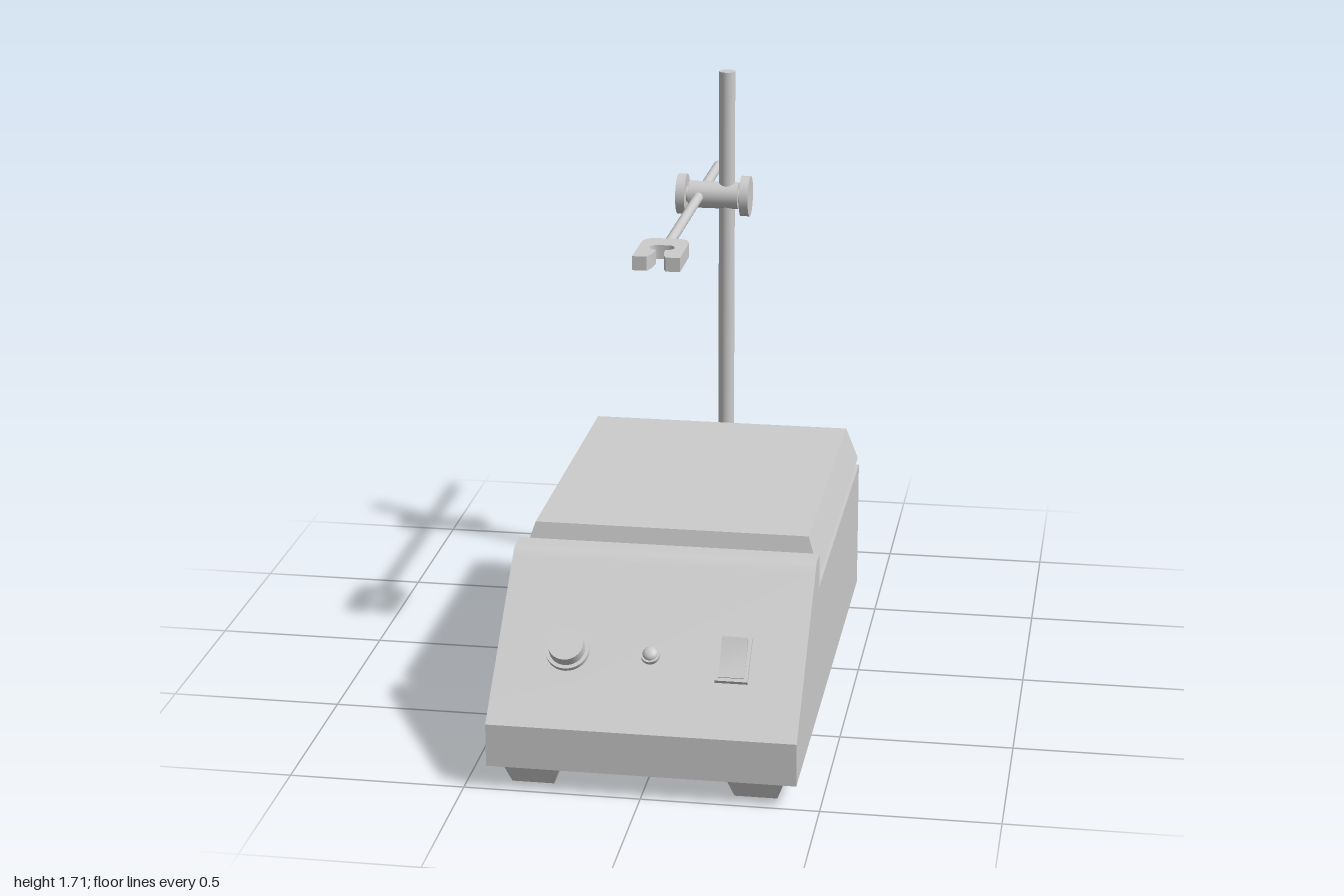
import * as THREE from 'three';
import { toCreasedNormals } from 'three/addons/utils/BufferGeometryUtils.js';

const grey = new THREE.MeshStandardMaterial({ color: 0xcccccc });

function add(parent, name, geometry, x = 0, y = 0, z = 0) {
  const mesh = new THREE.Mesh(geometry, grey);
  mesh.name = name;
  mesh.position.set(x, y, z);
  parent.add(mesh);
  return mesh;
}

const cyl = (r, h, sides = 32) => new THREE.CylinderGeometry(r, r, h, sides);
const cylX = (r, h) => cyl(r, h).rotateZ(Math.PI / 2);
const cylZ = (r, h) => cyl(r, h, 24).rotateX(Math.PI / 2);

// Box whose top and bottom rectangles differ in size
function frustum(topW, topD, botW, botD, h) {
  const g = new THREE.BoxGeometry(1, h, 1);
  const p = g.attributes.position;
  for (let i = 0; i < p.count; i++) {
    const top = p.getY(i) > 0;
    p.setX(i, p.getX(i) * (top ? topW : botW));
    p.setZ(i, p.getZ(i) * (top ? topD : botD));
  }
  g.computeVertexNormals();
  return g;
}

// Side profile drawn as (z, y), extruded across x
function sideExtrude(shape, width) {
  const g = new THREE.ExtrudeGeometry(shape, { depth: width, bevelEnabled: false, curveSegments: 8 });
  g.translate(0, 0, -width / 2).rotateY(-Math.PI / 2);
  return toCreasedNormals(g, 0.5);
}

function buildBase(root) {
  const s = new THREE.Shape();
  s.moveTo(-0.555, 0.07);
  s.lineTo(1, 0.07);
  s.lineTo(1, 0.195);
  s.lineTo(0.605, 0.546);
  s.quadraticCurveTo(0.584, 0.567, 0.56, 0.567);
  s.lineTo(0.51, 0.567);
  s.lineTo(0.51, 0.467);
  s.lineTo(-0.555, 0.467);
  s.closePath();
  add(root, 'housing', sideExtrude(s, 0.87));

  // Heating plate with its posts, and the feet
  add(root, 'hotPlate', frustum(0.795, 0.975, 0.865, 1.03, 0.105), 0, 0.5475, -0.025);
  for (const side of [-1, 1]) {
    for (const z of [0.405, -0.44]) add(root, 'platePost', cyl(0.03, 0.04), side * 0.33, 0.481, z);
    for (const z of [0.882, -0.422]) {
      add(root, 'foot', frustum(0.17, 0.165, 0.12, 0.11, 0.07), side * 0.315, 0.035, z);
    }
  }
}

function buildControls(root) {
  // Local y points out of the sloping panel, local z runs down it
  const panel = new THREE.Group();
  panel.name = 'controls';
  panel.position.set(0, 0.354, 0.82);
  panel.rotation.x = Math.atan2(0.37, 0.42);
  root.add(panel);

  add(panel, 'knobFlange', cyl(0.062, 0.02), -0.235, 0.005, 0);
  add(panel, 'knob', new THREE.CylinderGeometry(0.05, 0.052, 0.05, 32), -0.235, 0.022, 0);

  add(panel, 'lampBezel', cyl(0.027, 0.02, 24), 0, 0.005, 0);
  const dome = new THREE.SphereGeometry(0.021, 24, 8, 0, Math.PI * 2, 0, Math.PI / 2);
  add(panel, 'lamp', dome.scale(1, 0.6, 1), 0, 0.015, 0);

  add(panel, 'switchFrame', new THREE.BoxGeometry(0.092, 0.03, 0.14), 0.235, 0, 0);
  const r = new THREE.Shape();
  r.moveTo(-0.06, 0);
  r.lineTo(0.06, 0);
  r.lineTo(0.06, 0.018);
  r.lineTo(0, 0.022);
  r.lineTo(-0.055, 0.04);
  r.closePath();
  add(panel, 'switchRocker', sideExtrude(r, 0.072), 0.235, 0, 0);
}

function buildStand(root) {
  const z = -0.615;
  add(root, 'standRod', cyl(0.025, 1.555), 0, 0.9325, z);
  add(root, 'rodSleeve', cyl(0.037, 0.205), 0, 0.3025, z);
  add(root, 'sleeveWeb', new THREE.BoxGeometry(0.06, 0.205, 0.05), 0, 0.3025, -0.585);
  add(root, 'bracketPlate', new THREE.BoxGeometry(0.18, 0.205, 0.016), 0, 0.3025, -0.562);

  // Cross clamp with a thumb screw at each end
  const clamp = new THREE.Group();
  clamp.name = 'crossClamp';
  clamp.position.set(-0.04, 1.315, z);
  root.add(clamp);
  add(clamp, 'clampBody', cylX(0.042, 0.156));
  add(clamp, 'clampScrew', cylX(0.025, 0.2));
  for (const side of [-1, 1]) add(clamp, 'thumbScrew', cylX(0.063, 0.028), side * 0.1, 0, 0);

  // Horizontal arm and its forked holder
  add(root, 'armRod', cylZ(0.0155, 1.02), -0.085, 1.315, -0.49);
  const f = new THREE.Shape();
  f.moveTo(-0.04, 0);
  f.lineTo(0.04, 0);
  f.quadraticCurveTo(0.07, 0.01, 0.07, 0.05);
  f.lineTo(0.07, 0.208);
  f.lineTo(0.028, 0.208);
  f.quadraticCurveTo(0.014, 0.18, 0.014, 0.128);
  f.bezierCurveTo(0.045, 0.128, 0.045, 0.076, 0.014, 0.076);
  f.lineTo(-0.014, 0.076);
  f.bezierCurveTo(-0.045, 0.076, -0.045, 0.128, -0.014, 0.128);
  f.quadraticCurveTo(-0.014, 0.18, -0.028, 0.208);
  f.lineTo(-0.07, 0.208);
  f.lineTo(-0.07, 0.05);
  f.quadraticCurveTo(-0.07, 0.01, -0.04, 0);
  const fork = new THREE.ExtrudeGeometry(f, { depth: 0.042, bevelEnabled: false, curveSegments: 8 });
  fork.translate(0, 0, -0.021).rotateX(Math.PI / 2);
  add(root, 'forkHolder', toCreasedNormals(fork, 0.5), -0.085, 1.315, 0);
}

export function createModel() {
  const root = new THREE.Group();
  root.name = 'hotPlateStirrer';
  buildBase(root);
  buildControls(root);
  buildStand(root);
  return root;
}
